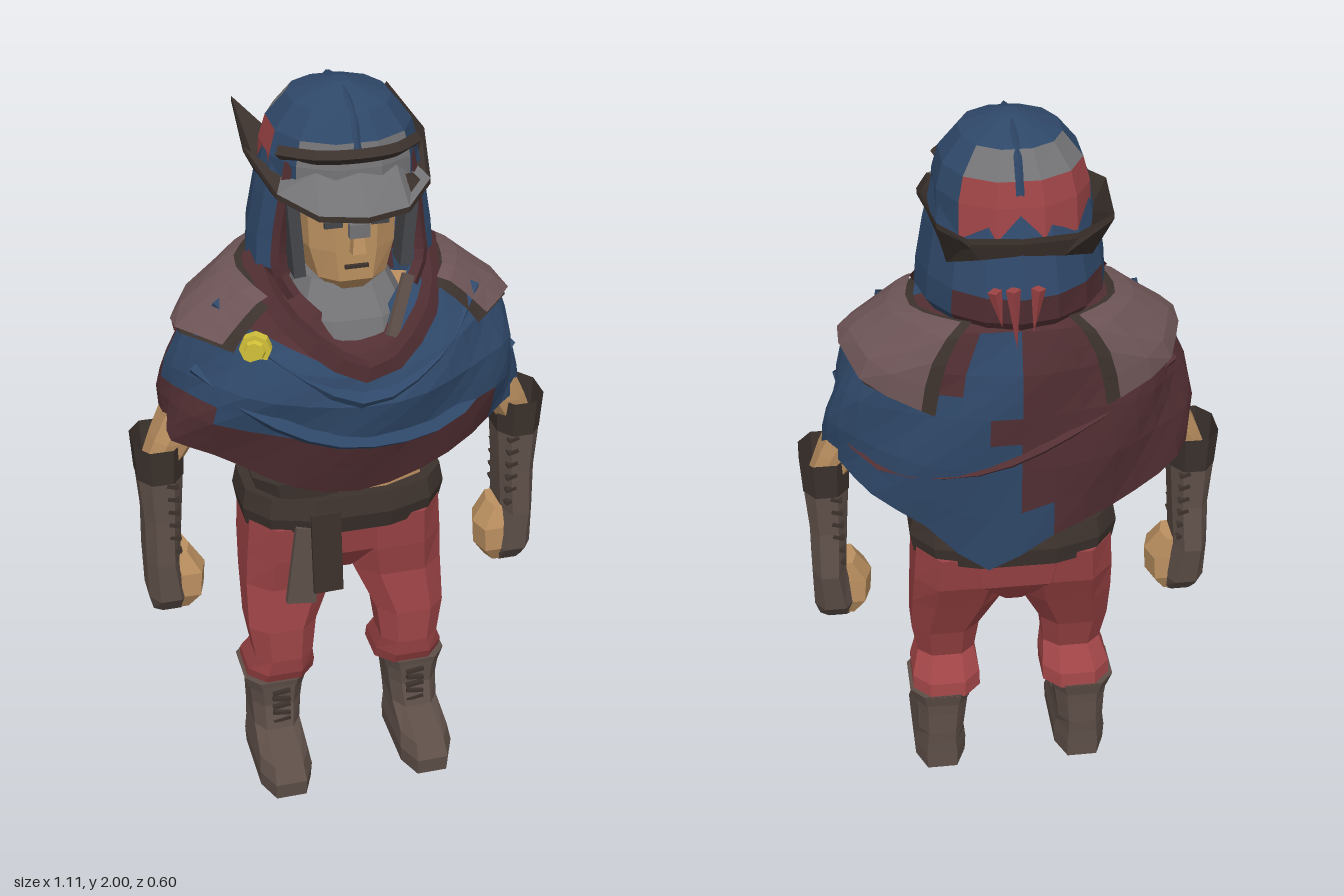
import * as THREE from 'three';

const C = {
  blue: 0x2f4869, maroon: 0x522f33, mauve: 0x6e5557, red: 0x9c4345, leather: 0x5e4f48,
  dark: 0x3c322d, skin: 0xbb9060, grey: 0x737376, gold: 0xd2c038, steel: 0x45464a
};
const lerp = THREE.MathUtils.lerp;
const mat = (c) => new THREE.MeshStandardMaterial({ color: c, flatShading: true, side: THREE.DoubleSide });

function add(parent, name, geo, color, pos = [0, 0, 0], rot = [0, 0, 0]) {
  const m = new THREE.Mesh(geo, mat(color));
  m.name = name;
  m.position.set(...pos);
  m.rotation.set(...rot);
  parent.add(m);
}

// Skins rows of points (bottom row first); pick(i, j) chooses each quad's colour
function skin(parent, name, rows, pick) {
  const byColor = new Map();
  for (let j = 0; j < rows.length - 1; j++) for (let i = 0; i < rows[j].length - 1; i++) {
    const c = typeof pick === 'function' ? pick(i, j) : pick;
    if (!byColor.has(c)) byColor.set(c, []);
    const a = rows[j][i], b = rows[j][i + 1], d = rows[j + 1][i + 1], e = rows[j + 1][i];
    byColor.get(c).push(...a, ...b, ...d, ...a, ...d, ...e);
  }
  for (const [c, pos] of byColor) {
    const g = new THREE.BufferGeometry();
    g.setAttribute('position', new THREE.Float32BufferAttribute(pos, 3));
    g.computeVertexNormals();
    add(parent, name, g, c);
  }
}

// Stacked cross-sections [y, centreX, zFront, zBack, halfWidth], capped at both ends
function loft(parent, name, secs, pick, n = 8, p = 0.75, capped = true) {
  const pow = (v) => Math.sign(v) * Math.abs(v) ** p;
  const rows = secs.map(([y, cx, zf, zb, rx]) => Array.from({ length: n + 1 }, (_, i) => {
    const a = ((i + 0.5) / n) * Math.PI * 2;
    return [cx + rx * pow(Math.sin(a)), y, (zf + zb) / 2 + (zf - zb) / 2 * pow(Math.cos(a))];
  }));
  const cap = ([y, cx, zf, zb]) => Array(n + 1).fill([cx, y, (zf + zb) / 2]);
  if (capped) { rows.unshift(cap(secs[0])); rows.push(cap(secs[secs.length - 1])); }
  skin(parent, name, rows, pick);
}

function tube(parent, name, pts, r, color) {
  const curve = new THREE.CatmullRomCurve3(pts.map((q) => new THREE.Vector3(...q)));
  add(parent, name, new THREE.TubeGeometry(curve, 12, r, 4), color);
}

// Cape surface: angle a runs from the front towards +x, t from neck (0) to hem (5)
const CAPE = [ // ySide, yFront, yBack, halfWidth, zFront, zBack
  [1.53, 1.41, 1.57, 0.18, 0.17, 0.21], [1.5, 1.37, 1.53, 0.29, 0.22, 0.25],
  [1.41, 1.32, 1.42, 0.41, 0.26, 0.27], [1.30, 1.25, 1.30, 0.45, 0.285, 0.275],
  [1.20, 1.14, 1.14, 0.475, 0.26, 0.27], [1.10, 0.95, 0.93, 0.485, 0.2, 0.245]];
function cape(a, t, off = 0) {
  const k = Math.min(Math.floor(t), 4);
  const [ys, yf, yb, rx, zf, zb] = CAPE[k].map((v, i) => lerp(v, CAPE[k + 1][i], t - k));
  const c = Math.cos(a), s = Math.sin(a);
  let y = c > 0 ? lerp(ys, yf, c ** 4) : lerp(ys, yb, c * c);
  y -= Math.max(0, t - 4) * 0.12 * Math.exp(-(((a - 2.95) / 0.25) ** 2));
  const w = 1 + 0.02 * Math.sin(a * 7 + t * 2);
  return [s * (rx * w + off), y + off * 0.6, c * ((c > 0 ? zf : zb) * w + off)];
}
function capeColor(a, t) {
  const s = Math.sin(a), c = Math.cos(a);
  if (c < 0) {
    if (Math.abs(a - 3.0) < 0.14 && t > 1.2 && t < 2.8) return C.blue;
    return t > 3.9 - s * (s > 0 ? 3 : 6) ? C.blue : C.maroon;
  }
  if (t > 4.2 && Math.abs(s) < 0.75) return C.maroon;
  if (s < -0.75 && t > 3.6) return C.maroon;
  return t < 1.6 && s < 0.4 ? C.maroon : C.blue;
}

function buildLimbs(g, s) {
  const S = (secs) => secs.map(([y, x, ...r]) => [y, x * s, ...r]);
  // Trouser leg with gathered hem
  loft(g, 'trouserLeg', S([[0.28, 0.185, 0.1, -0.11, 0.1], [0.32, 0.185, 0.12, -0.1, 0.1],
    [0.37, 0.18, 0.125, -0.03, 0.085], [0.47, 0.182, 0.125, -0.06, 0.1], [0.6, 0.152, 0.11, -0.12, 0.13],
    [0.7, 0.14, 0.13, -0.17, 0.138], [0.81, 0.135, 0.14, -0.19, 0.135]]), C.red);
  // Boot, cuff and laces
  loft(g, 'boot', S([[0, 0.205, 0.265, -0.09, 0.075], [0.05, 0.205, 0.27, -0.09, 0.078],
    [0.09, 0.205, 0.24, -0.09, 0.072], [0.13, 0.203, 0.12, -0.09, 0.068], [0.2, 0.2, 0.1, -0.09, 0.073],
    [0.27, 0.2, 0.105, -0.095, 0.082]]), (i, j) => (j === 0 ? C.dark : C.leather), 8, 0.6);
  loft(g, 'bootCuff', S([[0.24, 0.2, 0.1, -0.098, 0.08], [0.285, 0.2, 0.108, -0.11, 0.094]]), C.leather, 8, 0.6);
  for (let i = 0; i < 6; i++)
    add(g, 'bootLace', new THREE.BoxGeometry(0.05, 0.01, 0.02), C.dark, [s * 0.195, 0.13 + i * 0.024, 0.1], [0, 0, i % 2 ? 0.15 : -0.15]);
  // Arm, bracer and hand
  loft(g, 'upperArm', S([[1.0, 0.485, 0.06, -0.06, 0.05], [1.08, 0.445, 0.075, -0.075, 0.06],
    [1.18, 0.385, 0.08, -0.09, 0.075], [1.38, 0.3, 0.08, -0.09, 0.08]]), C.skin);
  loft(g, 'bracer', S([[0.545, 0.48, 0.04, -0.03, 0.05], [0.6, 0.485, 0.085, -0.08, 0.058],
    [0.72, 0.495, 0.09, -0.1, 0.048], [0.85, 0.49, 0.08, -0.08, 0.052], [0.98, 0.49, 0.08, -0.08, 0.062]]), C.leather);
  loft(g, 'bracerCuff', S([[0.97, 0.49, 0.083, -0.083, 0.064], [1.075, 0.49, 0.092, -0.092, 0.07]]), C.dark, 8, 0.85, false);
  loft(g, 'hand', S([[0.55, 0.455, 0.045, -0.03, 0.035], [0.6, 0.43, 0.075, -0.055, 0.045],
    [0.67, 0.425, 0.075, -0.055, 0.045], [0.73, 0.45, 0.05, -0.05, 0.03]]), C.skin, 6);
  for (let i = 0; i < 6; i++) for (const z of [1, -1])
    add(g, 'bracerLace', new THREE.BoxGeometry(0.03, 0.01, 0.02), C.dark, [s * 0.465, 0.76 + i * 0.04, z * 0.07], [0, 0, 0.3 * s]);
}

function buildHead(g) {
  // Face
  loft(g, 'head', [[1.5, 0, 0.13, -0.1, 0.06], [1.54, 0, 0.165, -0.1, 0.1], [1.62, 0, 0.165, -0.12, 0.125],
    [1.72, 0, 0.165, -0.14, 0.13], [1.8, 0, 0.15, -0.14, 0.13]], C.skin, 10);
  add(g, 'nose', new THREE.CylinderGeometry(0.014, 0.024, 0.08, 4), C.skin, [0, 1.66, 0.17], [-0.15, Math.PI / 4, 0]);
  add(g, 'noseGuard', new THREE.BoxGeometry(0.05, 0.035, 0.02), C.grey, [0, 1.685, 0.185]);
  add(g, 'mouth', new THREE.BoxGeometry(0.06, 0.008, 0.01), C.dark, [0, 1.58, 0.165]);
  add(g, 'browBand', new THREE.BoxGeometry(0.25, 0.035, 0.03), C.maroon, [0, 1.77, 0.155]);
  for (const s of [1, -1]) {
    add(g, 'eyebrow', new THREE.BoxGeometry(0.085, 0.025, 0.02), C.dark, [s * 0.06, 1.73, 0.162], [0, s * 0.2, s * 0.15]);
    add(g, 'eye', new THREE.BoxGeometry(0.045, 0.015, 0.012), C.steel, [s * 0.058, 1.695, 0.162]);
    add(g, 'cheekGuard', new THREE.BoxGeometry(0.03, 0.2, 0.07), C.steel, [s * 0.142, 1.65, 0.1], [0, 0, s * -0.08]);
  }
  // Hood, open at the face
  const hood = [[1.5, 0.2, 0.2, 0.22], [1.56, 0.24, 0.16, 0.265], [1.63, 0.235, 0.14, 0.275], [1.74, 0.215, 0.15, 0.25], [1.84, 0.19, 0.15, 0.21]];
  const rows = hood.map(([y, rx, zf, zb]) => Array.from({ length: 13 }, (_, i) => {
    const a = lerp(0.85, Math.PI * 2 - 0.85, i / 12), c = Math.cos(a);
    return [rx * Math.sin(a), y, c * (c > 0 ? zf : zb)];
  }));
  skin(g, 'hood', rows, (i, j) => ((j < 2 && i > 3 && i < 9) || (j === 1 && i === 1) || (j === 0 && i > 9) ? C.maroon : C.blue));
  for (const end of [0, 12]) tube(g, 'hoodEdge', rows.map((r) => r[end]), 0.018, C.maroon);
  // Cap with grey front and red back patch
  loft(g, 'cap', [[1.76, 0, 0.19, -0.235, 0.195], [1.84, 0, 0.185, -0.22, 0.192], [1.9, 0, 0.17, -0.2, 0.175],
    [1.96, 0, 0.125, -0.15, 0.125], [1.998, 0, 0.02, -0.03, 0.02]], (i, j) => {
    if (j < 3 && (i < 1 || i > 9)) return C.grey;
    if (j < 4 && i > 3 && i < 8) return j === 3 ? C.grey : C.red;
    return j < 3 && i === 8 ? C.red : C.blue;
  }, 12, 0.9);
  tube(g, 'capRidge', [[0, 1.87, 0.175], [0, 1.95, 0.13], [0, 1.988, 0], [0, 1.95, -0.155], [0, 1.87, -0.21]], 0.01, C.blue);
  tube(g, 'capBand', [[-0.17, 1.86, 0.08], [-0.09, 1.87, 0.16], [0, 1.875, 0.185], [0.09, 1.87, 0.16], [0.17, 1.86, 0.08]], 0.018, C.dark);
  // Upswept brim, mirrored across the middle
  const inner = [[0, 1.83, 0.18], [0.1, 1.83, 0.155], [0.165, 1.8, 0.08], [0.19, 1.75, -0.06], [0.175, 1.72, -0.2], [0.1, 1.74, -0.24], [0, 1.75, -0.25]];
  const outer = [[0, 1.755, 0.27], [0.11, 1.755, 0.235], [0.19, 1.78, 0.14], [0.23, 1.83, -0.05], [0.205, 1.86, -0.305], [0.13, 1.79, -0.255], [0, 1.785, -0.262]];
  const full = (half) => [...half.slice(1).reverse().map(([x, y, z]) => [-x, y, z]), ...half];
  const lower = (r) => r.map(([x, y, z]) => [x, y - 0.015, z]);
  const o = full(outer), n = full(inner);
  skin(g, 'hatBrim', [lower(n), lower(o), o, n], (i, j) => (j === 2 && (i > 3 && i < 8) ? C.grey : C.dark));
  // Ragged red ties at the nape
  for (const [x, h] of [[-0.03, 0.12], [0.02, 0.16], [0.06, 0.1]])
    add(g, 'napeTie', new THREE.ConeGeometry(0.018, h, 4), C.red, [x, 1.66 - h / 2, -0.275], [Math.PI, 0, x * 3]);
}

export function createModel() {
  const g = new THREE.Group();
  g.name = 'hoodedAdventurer';
  for (const s of [1, -1]) buildLimbs(g, s);
  buildHead(g);

  // Hips, waist and belts
  loft(g, 'hips', [[0.61, 0, 0.05, -0.1, 0.05], [0.7, 0, 0.12, -0.17, 0.22], [0.82, 0, 0.14, -0.19, 0.265]], C.red, 10);
  loft(g, 'torso', [[0.8, 0, 0.13, -0.17, 0.25], [0.95, 0, 0.12, -0.15, 0.23], [1.1, 0, 0.15, -0.17, 0.28], [1.4, 0, 0.14, -0.17, 0.28]], C.skin, 10);
  loft(g, 'belt', [[0.79, 0, 0.15, -0.2, 0.275], [0.845, 0, 0.165, -0.21, 0.285], [0.9, 0, 0.15, -0.195, 0.275]], C.dark, 12);
  for (const [y, tilt] of [[0.95, 0.16], [0.99, -0.12]]) {
    const strap = new THREE.Group();
    strap.name = 'waistStrap';
    strap.position.y = y;
    strap.rotation.z = tilt;
    loft(strap, 'strapBand', [[-0.025, 0, 0.15, -0.18, 0.25], [0.025, 0, 0.15, -0.18, 0.255]], C.dark, 12);
    g.add(strap);
  }
  // Cloth hanging from the belt
  add(g, 'beltCloth', new THREE.BoxGeometry(0.08, 0.25, 0.025), C.dark, [-0.075, 0.74, 0.15], [0, 0, 0.03]);
  add(g, 'beltClothEnd', new THREE.BoxGeometry(0.08, 0.24, 0.02), C.leather, [-0.13, 0.7, 0.14], [0, 0, -0.12]);

  // Neck collar and strap
  loft(g, 'collar', [[1.34, 0, 0.22, -0.1, 0.16], [1.44, 0, 0.185, -0.1, 0.15], [1.52, 0, 0.12, -0.1, 0.11]], C.grey, 10);
  add(g, 'neckStrap', new THREE.BoxGeometry(0.03, 0.16, 0.015), C.leather, [0.11, 1.46, 0.17], [-0.35, 0.3, -0.4]);

  // Cape, hem row first
  const N = 36, M = 10, ang = (i) => (i / N) * Math.PI * 2, lev = (j) => 5 - j * 5 / M;
  const rows = Array.from({ length: M + 1 }, (_, j) => Array.from({ length: N + 1 }, (_, i) => cape(ang(i), lev(j))));
  skin(g, 'cape', rows, (i, j) => capeColor(ang(i + 0.5), lev(j + 0.5)));

  // Draped scarf folds
  tube(g, 'scarfFold', [[0.22, 1.57, 0], [0.18, 1.45, 0.17], [0.02, 1.33, 0.25], [-0.18, 1.46, 0.17], [-0.22, 1.57, 0]], 0.03, C.maroon);
  tube(g, 'scarfFold', [[0.32, 1.46, 0.1], [0.2, 1.34, 0.215], [0, 1.26, 0.27], [-0.22, 1.37, 0.19], [-0.33, 1.47, 0.06]], 0.026, C.blue);
  tube(g, 'scarfFold', [[0.44, 1.26, 0.06], [0.22, 1.15, 0.23], [-0.05, 1.14, 0.26], [-0.25, 1.22, 0.225], [-0.4, 1.32, 0.1]], 0.022, C.blue);
  tube(g, 'hemFold', [[0.45, 1.19, -0.05], [0.36, 1.12, -0.16], [0.1, 1.14, -0.255], [-0.2, 1.27, -0.235], [-0.41, 1.34, -0.09]], 0.016, C.maroon);

  // Shoulder pads over darker edging, reaching down the back
  for (const s of [1, -1]) for (const [m, off, c] of [[0, 0.01, C.dark], [0.08, 0.02, C.mauve]]) {
    const pad = Array.from({ length: 5 }, (_, j) => Array.from({ length: 8 }, (_, i) => {
      const u = i / 7, a = lerp(0.85 + m, 2.65 - m, u);
      const [x, y, z] = cape(a, lerp(2.1 + u * u * 0.9 - m, 0.5 + m, j / 4), off);
      return [s * x, y, z];
    }));
    skin(g, c === C.mauve ? 'shoulderPad' : 'shoulderPadEdge', pad, c);
  }

  // Gold clasp
  add(g, 'clasp', new THREE.CylinderGeometry(0.04, 0.04, 0.025, 8), C.gold, [-0.26, 1.4, 0.185], [Math.PI / 2, 0, 0.35]);
  add(g, 'claspBoss', new THREE.CylinderGeometry(0.024, 0.028, 0.012, 8), C.gold, [-0.266, 1.4, 0.202], [Math.PI / 2, 0, 0.35]);
  return g;
}
